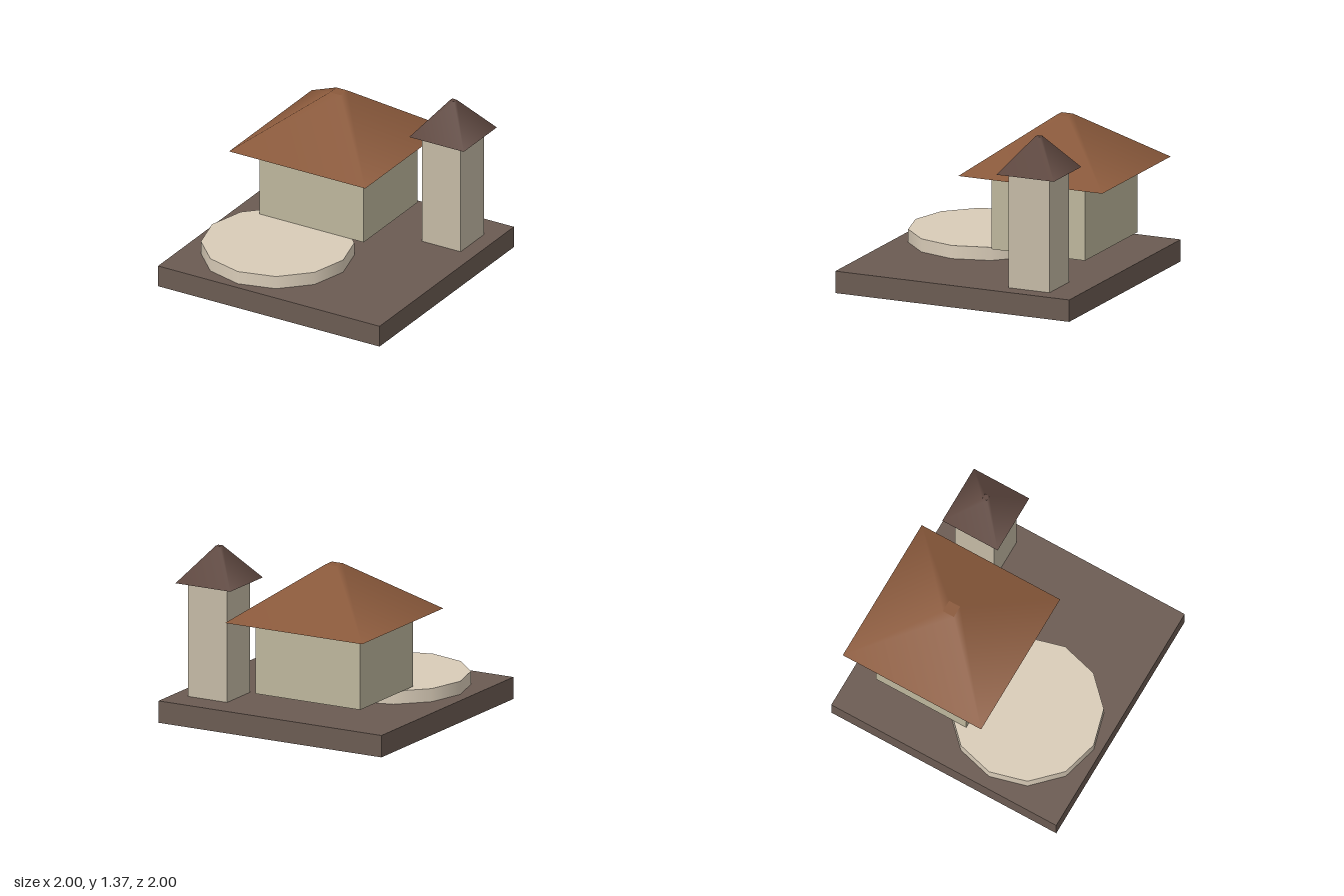
import * as THREE from 'three';

const BASE_TOP = 0.175;

function part(name, geometry, color, x, y, z) {
  const mesh = new THREE.Mesh(geometry, new THREE.MeshStandardMaterial({ color }));
  mesh.name = name;
  mesh.position.set(x, y, z);
  return mesh;
}

// Box standing between two heights
function block(name, color, width, depth, bottom, top, x, z) {
  const geometry = new THREE.BoxGeometry(width, top - bottom, depth);
  return part(name, geometry, color, x, (bottom + top) / 2, z);
}

// Four-sided truncated pyramid with smooth normals, sides squared to the axes
function hipRoof(name, color, halfEave, halfTop, bottom, top, x, z) {
  const geometry = new THREE.CylinderGeometry(
    halfTop * Math.SQRT2, halfEave * Math.SQRT2, top - bottom, 4);
  geometry.rotateY(Math.PI / 4);
  return part(name, geometry, color, x, (bottom + top) / 2, z);
}

export function createModel() {
  const model = new THREE.Group();
  model.name = 'courtyardHouse';

  // Ground slab and round terrace
  model.add(block('baseSlab', 0x6b5b52, 2, 2, 0, BASE_TOP, 0, 0));
  const terrace = new THREE.CylinderGeometry(0.592, 0.592, 0.105, 12);
  model.add(part('terrace', terrace, 0xd9ccb8, -0.315, BASE_TOP + 0.0525, 0.35));

  // House, raised to terrace height
  const house = new THREE.Group();
  house.name = 'house';
  house.add(
    block('houseWalls', 0xbdb69c, 0.94, 0.8, 0.285, 0.88, -0.21, -0.383),
    hipRoof('houseRoof', 0x8b5a3c, 0.615, 0.049, 0.88, 1.295, -0.21, -0.383));
  model.add(house);

  // Tower
  const tower = new THREE.Group();
  tower.name = 'tower';
  tower.add(
    block('towerWalls', 0xc4baa5, 0.35, 0.35, BASE_TOP, 1.087, 0.696, -0.595),
    hipRoof('towerRoof', 0x5f4840, 0.246, 0.02, 1.087, 1.365, 0.696, -0.595));
  model.add(tower);

  return model;
}
